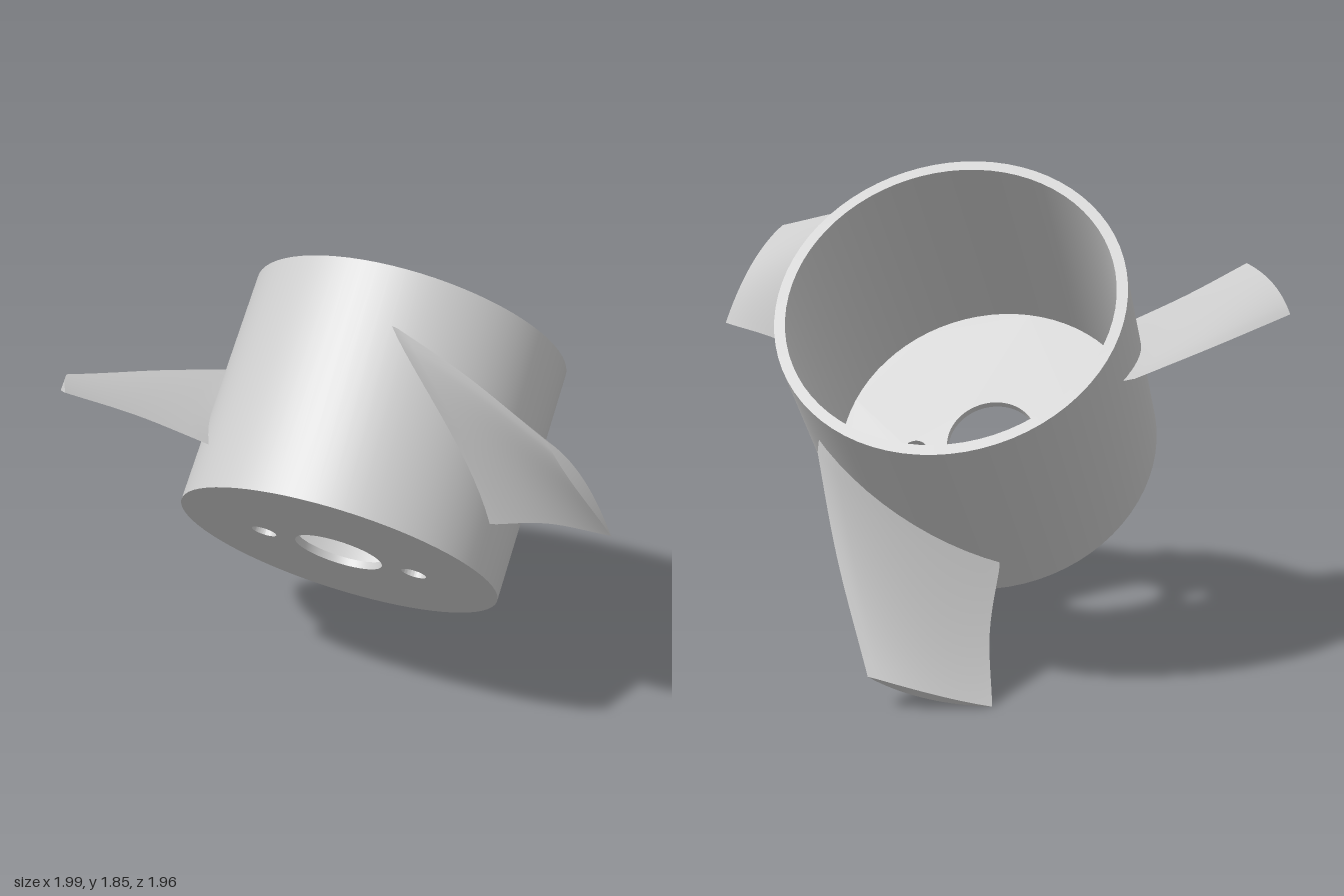
import * as THREE from 'three';
import { toCreasedNormals } from 'three/addons/utils/BufferGeometryUtils.js';

const R = 0.64, INNER = 0.6, HEIGHT = 0.956, FLOOR = 0.03;
const material = new THREE.MeshStandardMaterial({ color: 0xcccccc });

function part(name, geometry, crease = 0.6) {
  const mesh = new THREE.Mesh(toCreasedNormals(geometry, crease), material);
  mesh.name = name;
  return mesh;
}

// Open tube: bottom ring, outer wall, rim, inner wall
function hubWall() {
  const profile = [[INNER, 0], [R, 0], [R, HEIGHT], [INNER, HEIGHT], [INNER, FLOOR]];
  return new THREE.LatheGeometry(profile.map(([x, y]) => new THREE.Vector2(x, y)), 72);
}

// Floor disc with a shaft hole and two bolt holes
function hubFloor() {
  const disc = new THREE.Shape().absarc(0, 0, INNER, 0, Math.PI * 2);
  for (const [x, y, r] of [[0, 0, 0.176], [0.296, 0.07, 0.05], [-0.296, -0.07, 0.05]]) {
    disc.holes.push(new THREE.Path().absarc(x, y, r, 0, Math.PI * 2, true));
  }
  return new THREE.ExtrudeGeometry(disc, { depth: FLOOR, bevelEnabled: false, curveSegments: 36 })
    .rotateX(-Math.PI / 2);
}

// Twisted blade: aerofoil sections wrapped round the hub axis, from root to tip
function bladeGeometry() {
  const curve = (...p) => new THREE.CatmullRomCurve3(p.map((q) => new THREE.Vector3(...q)));
  const leading = curve([0.17, 0.734, 0.624], [0.555, 0.555, 0.71], [0.94, 0.349, 0.768]);
  const trailing = curve([0.615, 0.187, 0.167], [0.877, 0.196, 0.306], [1.145, 0.171, 0.401]);
  const ROWS = 16, N = 16, LOOP = 2 * N, THICK = 0.05;
  const polar = (p) => ({ r: Math.hypot(p.x, p.z), a: Math.atan2(p.z, p.x), h: p.y });
  const positions = [], index = [];

  for (let i = 0; i <= ROWS; i++) {
    const A = polar(leading.getPoint(i / ROWS)), B = polar(trailing.getPoint(i / ROWS));
    const sink = i === 0 ? 0.02 : 0; // root is embedded in the wall
    const rMid = (A.r + B.r) / 2;
    const along = rMid * (B.a - A.a), rise = B.h - A.h, chord = Math.hypot(along, rise);
    for (let k = 0; k < LOOP; k++) {
      const u = (k <= N ? k : LOOP - k) / N;
      const t = (k <= N ? 0.5 : -0.5) * THICK * Math.sin(Math.PI * Math.pow(u, 0.75));
      const r = THREE.MathUtils.lerp(A.r, B.r, u) - sink;
      const a = THREE.MathUtils.lerp(A.a, B.a, u) + (t * rise / chord) / rMid;
      const h = THREE.MathUtils.lerp(A.h, B.h, u) - t * along / chord;
      positions.push(r * Math.cos(a), h, r * Math.sin(a));
    }
  }
  for (let i = 0; i < ROWS; i++) {
    for (let k = 0; k < LOOP; k++) {
      const a = i * LOOP + k, b = i * LOOP + (k + 1) % LOOP;
      index.push(a, a + LOOP, b, b, a + LOOP, b + LOOP);
    }
  }
  // Tip cap joins the upper and lower sides
  const tip = ROWS * LOOP;
  for (let j = 0; j < N; j++) {
    const u0 = tip + j, u1 = u0 + 1;
    const l0 = tip + (LOOP - j) % LOOP, l1 = tip + LOOP - j - 1;
    if (j > 0) index.push(u0, l0, u1);
    if (j < N - 1) index.push(u1, l0, l1);
  }
  const geometry = new THREE.BufferGeometry();
  geometry.setAttribute('position', new THREE.Float32BufferAttribute(positions, 3));
  geometry.setIndex(index);
  return geometry;
}

export function createModel() {
  const model = new THREE.Group();
  model.name = 'propeller';
  const rotor = new THREE.Group();
  rotor.name = 'rotor';
  rotor.add(part('hubWall', hubWall()), part('hubFloor', hubFloor()));

  const blade = part('blade', bladeGeometry());
  for (let i = 0; i < 3; i++) {
    const copy = blade.clone();
    copy.name = `blade${i + 1}`;
    copy.rotation.y = -i * Math.PI * 2 / 3;
    rotor.add(copy);
  }

  // Tilt the hub axis up, to the left and back
  const s = Math.SQRT1_2;
  const basis = new THREE.Matrix4().makeBasis(
    new THREE.Vector3(s, 0, s), new THREE.Vector3(0.5, s, -0.5), new THREE.Vector3(-0.5, s, 0.5));
  rotor.quaternion.setFromRotationMatrix(basis);
  rotor.position.set(-0.035, 0.737, 0.055);
  model.add(rotor);
  return model;
}
